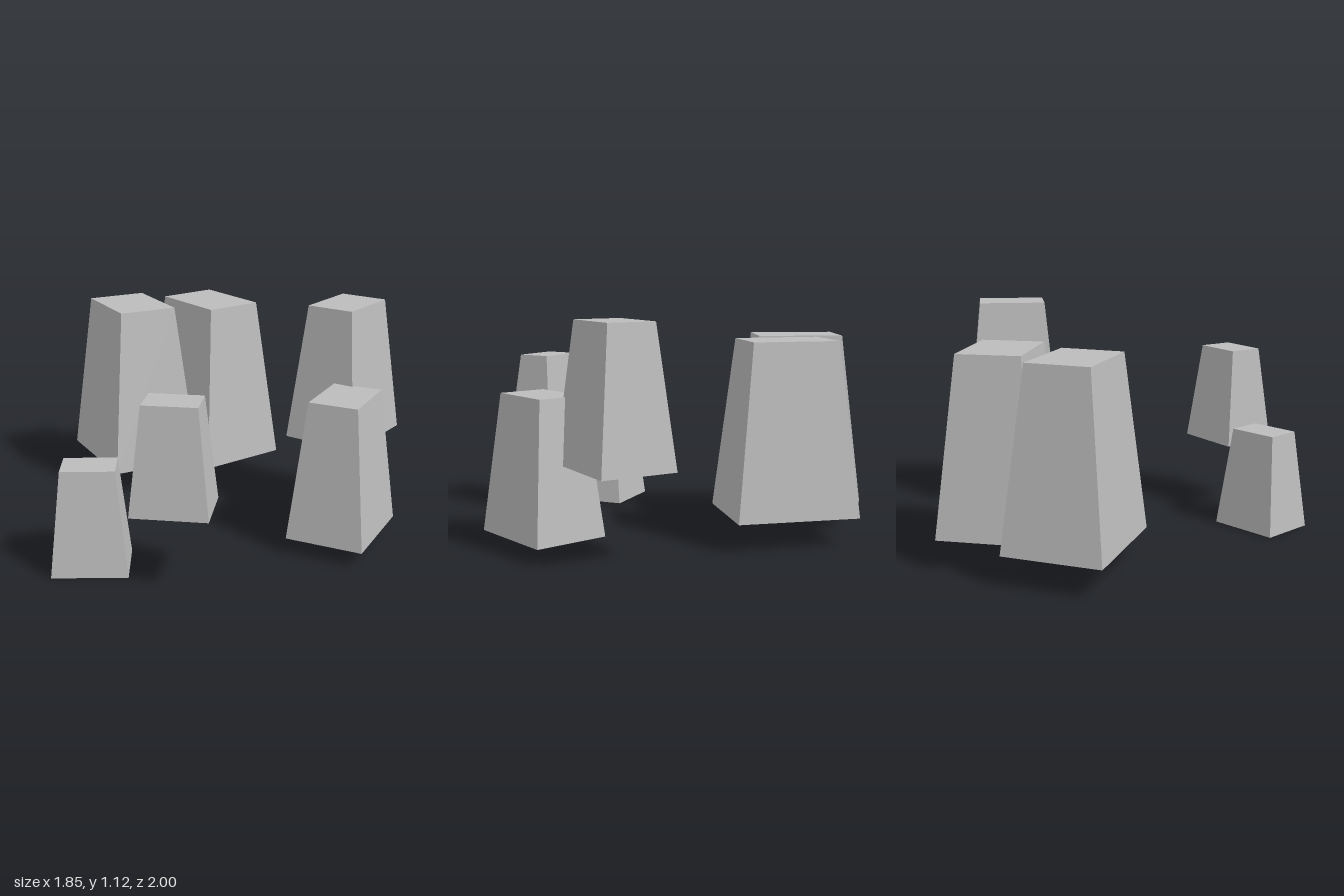
import * as THREE from 'three';

// Block tapering upward: base w x d, top tw x td, standing on y = 0
function taperedBlock(w, d, tw, td, h) {
  const geo = new THREE.BoxGeometry(w, h, d);
  geo.translate(0, h / 2, 0);
  const p = geo.attributes.position;
  for (let i = 0; i < p.count; i++) {
    if (p.getY(i) > h / 2) {
      p.setX(i, p.getX(i) * tw / w);
      p.setZ(i, p.getZ(i) * td / d);
    }
  }
  geo.computeVertexNormals();
  return geo;
}

export function createModel() {
  const group = new THREE.Group();
  const stone = new THREE.MeshStandardMaterial({ color: 0xbcbcbc });
  stone.name = 'stone grey';

  // One shape per size; each is used for a pair of pillars
  const large = taperedBlock(0.488, 0.618, 0.312, 0.435, 0.865);
  const medium = taperedBlock(0.388, 0.488, 0.245, 0.347, 0.685);
  const small = taperedBlock(0.36, 0.294, 0.255, 0.182, 0.508);

  // name, shape, base centre x y z, turn about y
  const pillars = [
    ['largePillarRight', large, -0.551, 0.145, -0.456, 0.627],
    ['largePillarBack', large, -0.137, 0.145, -0.608, 0.79],
    ['mediumPillarHigh', medium, 0.639, 0.44, -0.115, -0.479],
    ['mediumPillarLow', medium, 0.657, 0.075, 0.302, -0.315],
    ['smallPillarHigh', small, -0.081, 0.37, 0.851, 0],
    ['smallPillarLow', small, -0.504, 0, 0.73, 0.163],
  ];
  for (const [name, geo, x, y, z, turn] of pillars) {
    const mesh = new THREE.Mesh(geo, stone);
    mesh.name = name;
    mesh.position.set(x, y, z);
    mesh.rotation.y = turn;
    group.add(mesh);
  }
  return group;
}
